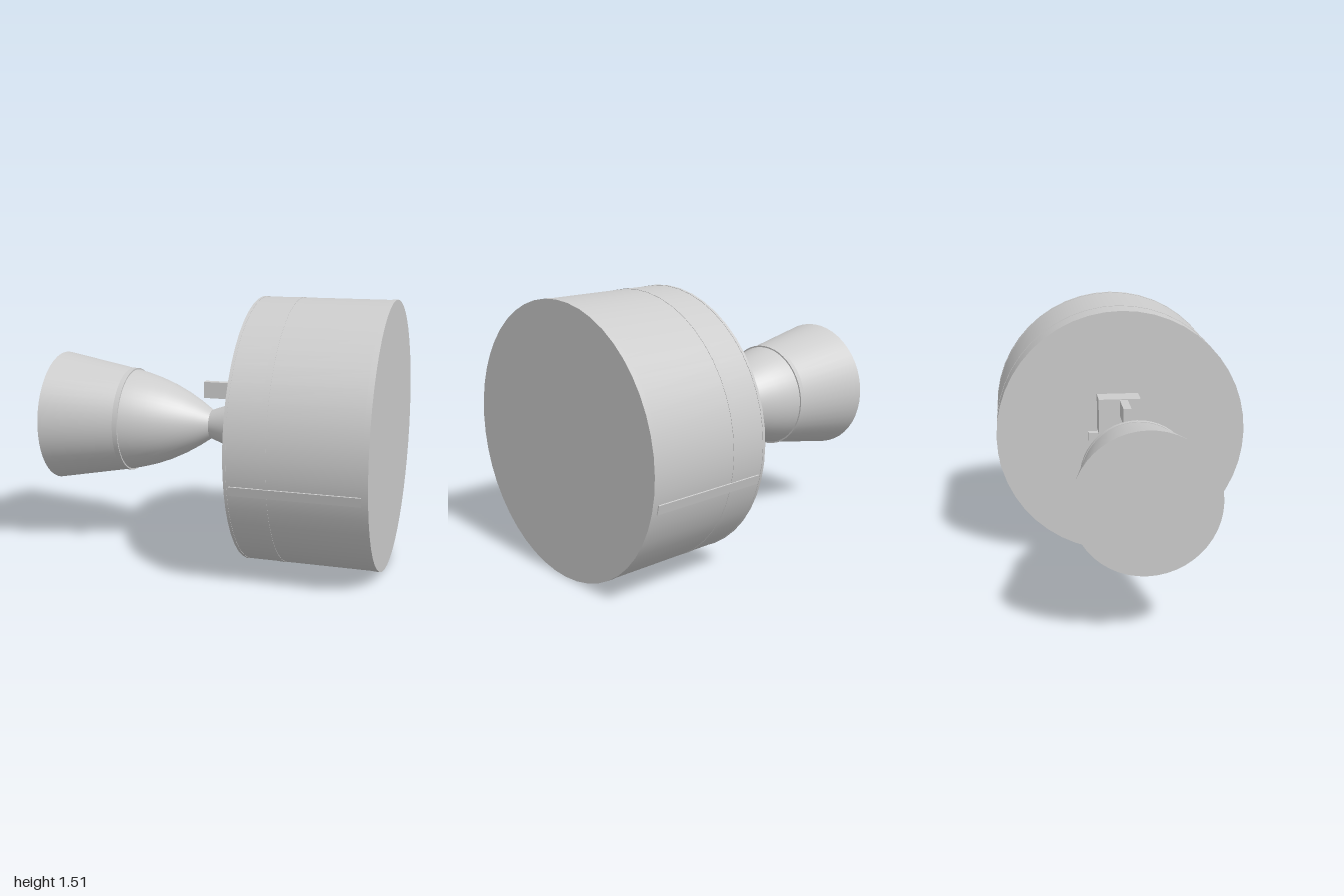
import * as THREE from 'three';

const R = 0.7575; // outer radius, also the height of the long axis

export function createModel() {
  const model = new THREE.Group();
  model.name = 'rocketStage';
  const grey = new THREE.MeshStandardMaterial({ color: 0xcccccc });
  grey.name = 'light grey';

  // Turned part along x: each run of [x, radius] points is smooth, edges between runs stay sharp
  function turned(name, runs, sides = 48) {
    const group = new THREE.Group();
    group.name = name;
    for (const run of runs) {
      const geo = new THREE.LatheGeometry(run.map(([x, r]) => new THREE.Vector2(r, x)), sides);
      geo.rotateZ(-Math.PI / 2);
      const mesh = new THREE.Mesh(geo, grey);
      mesh.name = name + 'Surface';
      mesh.position.y = R;
      group.add(mesh);
    }
    model.add(group);
  }

  // Closed drum or truncated cone
  const drum = (name, x0, x1, r0, r1 = r0) => turned(name, [
    [[x0, 0], [x0, r0]], [[x0, r0], [x1, r1]], [[x1, r1], [x1, 0]],
  ]);

  // Box given by its limits
  function block(name, x0, x1, y0, y1, z0, z1) {
    const mesh = new THREE.Mesh(new THREE.BoxGeometry(x1 - x0, y1 - y0, z1 - z0), grey);
    mesh.name = name;
    mesh.position.set((x0 + x1) / 2, (y0 + y1) / 2, (z0 + z1) / 2);
    model.add(mesh);
  }

  // Propellant tank with shallow hoops
  drum('tank', 0.246, 1, R - 0.002);
  drum('rearHoop', 0.246, 0.262, R);
  drum('middleHoop', 0.442, 0.474, R);
  drum('frontHoop', 0.97, 1, R);

  // Raised cable ducts low on both sides
  for (const side of [1, -1]) {
    const tilt = 0.245;
    const duct = new THREE.Mesh(new THREE.BoxGeometry(0.69, 0.052, 0.03), grey);
    duct.name = side > 0 ? 'frontDuct' : 'backDuct';
    const r = R - 0.012;
    duct.position.set(0.62, R - r * Math.sin(tilt), side * r * Math.cos(tilt));
    duct.rotation.x = side * tilt;
    model.add(duct);
  }

  // Engine bell, closed at the exit
  turned('nozzle', [
    [[-1, 0], [-1, 0.385]],
    [[-1, 0.385], [-0.55, 0.302], [-0.47, 0.283], [-0.39, 0.26], [-0.3, 0.226],
      [-0.21, 0.182], [-0.13, 0.135], [-0.055, 0.084]],
  ]);
  drum('nozzleRing', -0.565, -0.535, 0.307);

  // Combustion chamber and its flange
  drum('injectorCone', -0.055, 0.052, 0.084, 0.123);
  drum('chamber', 0.05, 0.25, 0.1);
  drum('chamberFlange', 0.198, 0.212, 0.11);

  // Pump housing, feed arm and small brackets
  block('pumpHousing', 0.105, 0.25, 0.805, 1.015, -0.15, 0.1);
  block('feedArm', -0.1, 0.11, 0.915, 1.01, -0.025, 0.022);
  block('frontBracket', 0.1, 0.25, 0.72, 0.81, 0, 0.138);
  block('backBracket', 0.198, 0.25, 0.73, 0.785, -0.205, 0);

  return model;
}
